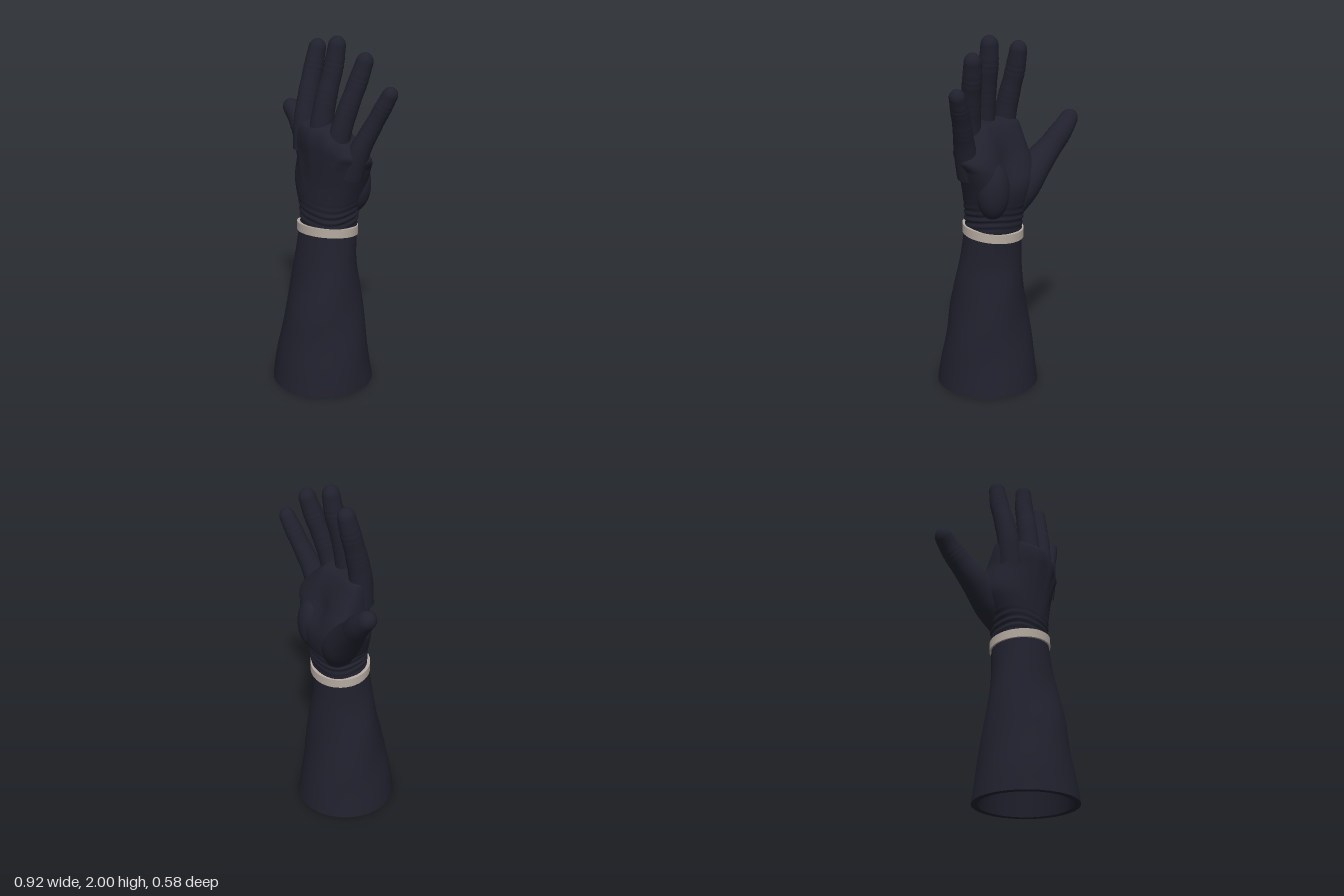
import * as THREE from 'three';

const fabric = new THREE.MeshStandardMaterial({ color: 0x20212d });
fabric.name = 'dark fabric';
const bandMat = new THREE.MeshStandardMaterial({ color: 0xb5aaa0 });
bandMat.name = 'pale band';

const gauss = (d, w) => Math.exp(-(d * d) / (w * w));

// Skin rings [x, y, z, halfWidth, halfDepth] along a smooth path.
// level: keep rings horizontal; round: dome the far end; power < 1: boxier ring
function loft(rings, { rows = 40, sides = 32, level = false, round = 0, power = 1, swell = null, rule = null } = {}) {
  const path = new THREE.CatmullRomCurve3(rings.map(r => new THREE.Vector3(r[0], r[1], r[2])), false, 'catmullrom');
  const size = new THREE.CatmullRomCurve3(rings.map(r => new THREE.Vector3(r[3], r[4], 0)), false, 'catmullrom');
  const end = path.getPoint(1), ref = new THREE.Vector3(0, 0, 1);
  const pos = [], idx = [], v = new THREE.Vector3();
  for (let i = 0; i <= rows; i++) {
    const t = round ? Math.sin((i / rows) * Math.PI / 2) : i / rows;
    const c = path.getPoint(t), s = size.getPoint(t);
    const T = level ? new THREE.Vector3(0, 1, 0) : path.getTangent(t);
    const U = new THREE.Vector3().crossVectors(T, ref).normalize();
    const V = new THREE.Vector3().crossVectors(U, T);
    let k = swell ? swell(t) : 1;
    if (round) {
      const q = 1 - Math.min(1, c.distanceTo(end) / round);
      k *= Math.max(0.01, Math.sqrt(1 - q * q));
    }
    for (let j = 0; j < sides; j++) {
      const a = (j / sides) * Math.PI * 2, ca = Math.cos(a), sa = Math.sin(a);
      const cu = Math.sign(ca) * Math.abs(ca) ** power, sv = Math.sign(sa) * Math.abs(sa) ** power;
      v.copy(c).addScaledVector(U, cu * s.x * k).addScaledVector(V, sv * s.y * k);
      if (rule) rule(v, a);
      pos.push(v.x, v.y, v.z);
      if (i < rows) {
        const n = (j + 1) % sides, p = i * sides, q = p + sides;
        idx.push(p + j, q + j, p + n, q + j, q + n, p + n);
      }
    }
  }
  const g = new THREE.BufferGeometry();
  g.setAttribute('position', new THREE.Float32BufferAttribute(pos, 3));
  g.setIndex(idx);
  g.computeVertexNormals();
  return g;
}

// Horizontal ring from its extents
const ext = (y, x0, x1, z0, z1) => [(x0 + x1) / 2, y, (z0 + z1) / 2, (x1 - x0) / 2, (z1 - z0) / 2];

function add(parent, name, geometry, material = fabric) {
  const m = new THREE.Mesh(geometry, material);
  m.name = name;
  parent.add(m);
  return m;
}

function makeSleeve() {
  const g = new THREE.Group();
  g.name = 'sleeve';
  const outer = [
    ext(0, -0.232, 0.346, -0.29, 0.291),
    ext(0.15, -0.212, 0.325, -0.267, 0.268),
    ext(0.3, -0.19, 0.304, -0.243, 0.236),
    ext(0.45, -0.168, 0.283, -0.222, 0.21),
    ext(0.6, -0.147, 0.262, -0.203, 0.172),
    ext(0.75, -0.126, 0.238, -0.19, 0.142),
    ext(0.92, -0.114, 0.226, -0.193, 0.115),
  ];
  // broad soft folds in the cloth
  const rule = (v, a) => {
    const f = Math.sin(v.y * Math.PI / 0.92) * 0.006 * Math.sin(a * 3 + v.y * 9);
    v.x += Math.cos(a) * f;
    v.z += Math.sin(a) * f;
  };
  const inner = outer.map(r => [r[0], r[1], r[2], r[3] - 0.035, r[4] - 0.035]).reverse();
  inner.unshift([inner[0][0], 0.92, inner[0][2], 0.002, 0.002]);
  add(g, 'sleeveOutside', loft(outer, { level: true, rule, rows: 24 }));
  add(g, 'sleeveLining', loft(inner, { level: true, rows: 28 }));
  add(g, 'sleeveHem', loft([inner[inner.length - 1], outer[0]], { level: true, rows: 1 }));
  return g;
}

function makeBand() {
  const g = new THREE.Group();
  g.name = 'wristBand';
  // tilted loop with a rectangular section
  const rule = v => { v.y += (v.x - 0.053) * 0.05 + (v.z + 0.038) * 0.115; };
  const ring = (y, d) => [0.053, y, -0.038, 0.179 - d, 0.164 - d];
  const section = [ring(0.895, 0), ring(0.945, 0), ring(0.945, 0.018), ring(0.895, 0.018), ring(0.895, 0)];
  for (let i = 0; i < 4; i++) {
    add(g, 'bandFace', loft([section[i], section[i + 1]], { level: true, rows: 1, sides: 48, rule }), bandMat);
  }
  return g;
}

function makePalm() {
  const rings = [
    ext(0.9, -0.105, 0.212, -0.183, 0.098),
    ext(0.97, -0.103, 0.215, -0.19, 0.1),
    ext(1.04, -0.112, 0.222, -0.2, 0.1),
    ext(1.12, -0.145, 0.242, -0.218, 0.1),
    ext(1.2, -0.175, 0.268, -0.222, 0.1),
    ext(1.28, -0.172, 0.296, -0.2, 0.104),
    ext(1.36, -0.152, 0.316, -0.165, 0.11),
    ext(1.44, -0.145, 0.325, -0.125, 0.114),
    ext(1.5, -0.138, 0.305, -0.09, 0.1),
    ext(1.545, -0.12, 0.28, -0.05, 0.06),
  ];
  const knuckles = [-0.085, 0.065, 0.185, 0.275];
  const rule = (v, a) => {
    // gathered wrinkles at the wrist
    const w = gauss(v.y - 1.01, 0.06) * 0.006 * Math.sin(v.y * 170 + Math.sin(a * 2) * 2.5);
    v.x += Math.cos(a) * w;
    v.z += Math.sin(a) * w;
    // tendons fanning to the knuckles
    const f = (v.y - 1.0) / 0.45;
    if (v.z > 0 && f > 0) {
      for (const k of knuckles) {
        v.z += 0.009 * Math.min(1, f) * gauss(v.x - (0.055 + (k - 0.055) * f), 0.022);
      }
    }
    // hollow of the palm
    if (v.z < -0.05) v.z += 0.03 * gauss(v.x - 0.07, 0.08) * gauss(v.y - 1.32, 0.1);
    // arch across the hand and sloping knuckle line
    const up = THREE.MathUtils.smoothstep(v.y, 1.1, 1.4);
    v.z -= up * (v.x - 0.08) ** 2 * 0.9;
    if (v.x > 0.15 && v.y > 1.3) v.y -= (v.x - 0.15) * 0.85 * (v.y - 1.3) / 0.24;
  };
  return loft(rings, { level: true, rows: 110, sides: 72, power: 0.85, round: 0.035, rule });
}

// Finger with swollen, creased joints
function finger(points, joints, tip) {
  const swell = t => joints.reduce((s, j) => s + 0.06 * gauss(t - j, 0.07)
    - 0.045 * (gauss(t - j - 0.022, 0.012) + gauss(t - j + 0.022, 0.012)), 1);
  return loft(points, { rows: 72, sides: 24, round: tip, swell });
}

export function createModel() {
  const model = new THREE.Group();
  model.name = 'glovedForearm';
  model.add(makeSleeve(), makeBand());

  const hand = new THREE.Group();
  hand.name = 'hand';
  model.add(hand);
  add(hand, 'palm', makePalm());

  // heel of the hand on the little finger side
  const heel = new THREE.SphereGeometry(1, 32, 20);
  heel.scale(0.095, 0.16, 0.09);
  add(hand, 'palmHeel', heel).position.set(0.165, 1.18, -0.135);

  add(hand, 'indexFinger', finger([
    [-0.08, 1.36, 0.01, 0.06, 0.07], [-0.085, 1.52, 0.0, 0.06, 0.066], [-0.09, 1.66, -0.03, 0.054, 0.058],
    [-0.092, 1.8, -0.07, 0.051, 0.054], [-0.085, 1.955, -0.105, 0.045, 0.046],
  ], [0.5, 0.76], 0.05));
  add(hand, 'middleFinger', finger([
    [0.058, 1.36, 0.035, 0.06, 0.07], [0.064, 1.52, 0.022, 0.06, 0.066], [0.075, 1.68, -0.003, 0.056, 0.057],
    [0.092, 1.84, -0.04, 0.052, 0.052], [0.105, 2.0, -0.06, 0.045, 0.045],
  ], [0.5, 0.76], 0.05));
  add(hand, 'ringFinger', finger([
    [0.165, 1.34, 0.015, 0.06, 0.068], [0.19, 1.5, 0.005, 0.057, 0.062], [0.218, 1.64, -0.025, 0.052, 0.056],
    [0.248, 1.78, -0.065, 0.05, 0.052], [0.28, 1.93, -0.1, 0.044, 0.045],
  ], [0.5, 0.76], 0.05));
  add(hand, 'littleFinger', finger([
    [0.235, 1.26, -0.03, 0.065, 0.07], [0.285, 1.41, -0.045, 0.056, 0.064], [0.335, 1.53, -0.075, 0.047, 0.052],
    [0.388, 1.65, -0.105, 0.044, 0.048], [0.44, 1.765, -0.13, 0.04, 0.042],
  ], [0.5, 0.76], 0.045));
  add(hand, 'thumb', finger([
    [0.0, 1.03, -0.1, 0.08, 0.08], [-0.08, 1.15, -0.125, 0.1, 0.105], [-0.185, 1.265, -0.15, 0.083, 0.09],
    [-0.275, 1.36, -0.18, 0.068, 0.068], [-0.355, 1.445, -0.2, 0.06, 0.057], [-0.45, 1.53, -0.198, 0.045, 0.045],
  ], [0.72], 0.055));

  return model;
}
